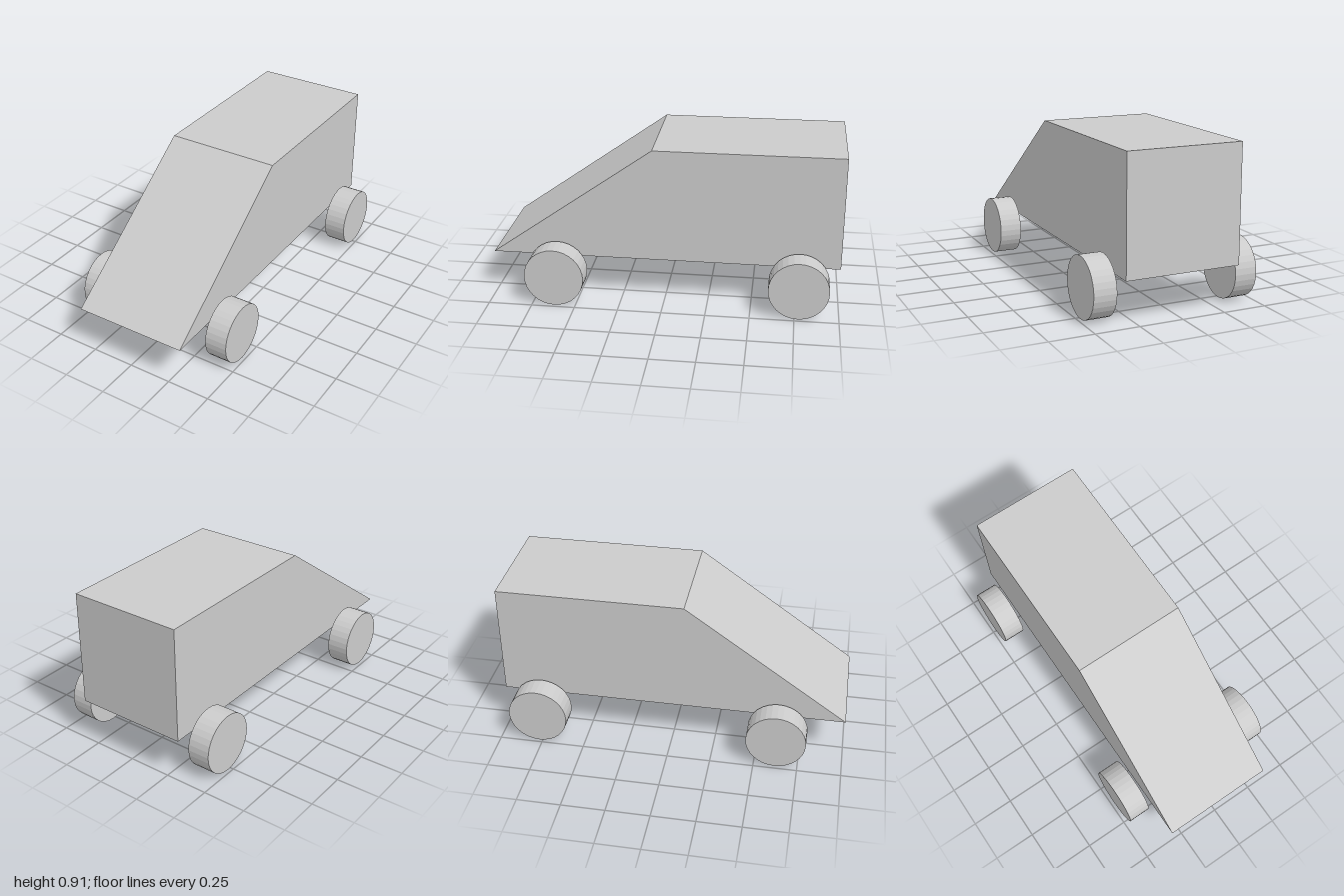
import * as THREE from 'three';

export function createModel() {
  const group = new THREE.Group();
  const material = new THREE.MeshStandardMaterial({ color: 0xcccccc, flatShading: true });

  // Wedge-nosed body: side profile (z, y) extruded across the width
  const width = 0.66;
  const profile = new THREE.Shape([
    new THREE.Vector2(-1, 0.25),
    new THREE.Vector2(1, 0.25),
    new THREE.Vector2(0.07, 0.91),
    new THREE.Vector2(-1, 0.91),
  ]);
  const bodyGeometry = new THREE.ExtrudeGeometry(profile, { depth: width, bevelEnabled: false });
  bodyGeometry.translate(0, 0, -width / 2).rotateY(-Math.PI / 2);
  const body = new THREE.Mesh(bodyGeometry, material);
  body.name = 'body';
  group.add(body);

  // Four wheels standing just clear of the body sides
  const radius = 0.171;
  const wheelGeometry = new THREE.CylinderGeometry(radius, radius, 0.13, 32).rotateZ(Math.PI / 2);
  for (const [end, z] of [['front', 0.62], ['rear', -0.77]]) {
    for (const [side, sign] of [['Left', 1], ['Right', -1]]) {
      const wheel = new THREE.Mesh(wheelGeometry, material);
      wheel.name = `${end}${side}Wheel`;
      wheel.position.set(sign * 0.415, radius, z);
      group.add(wheel);
    }
  }

  return group;
}
